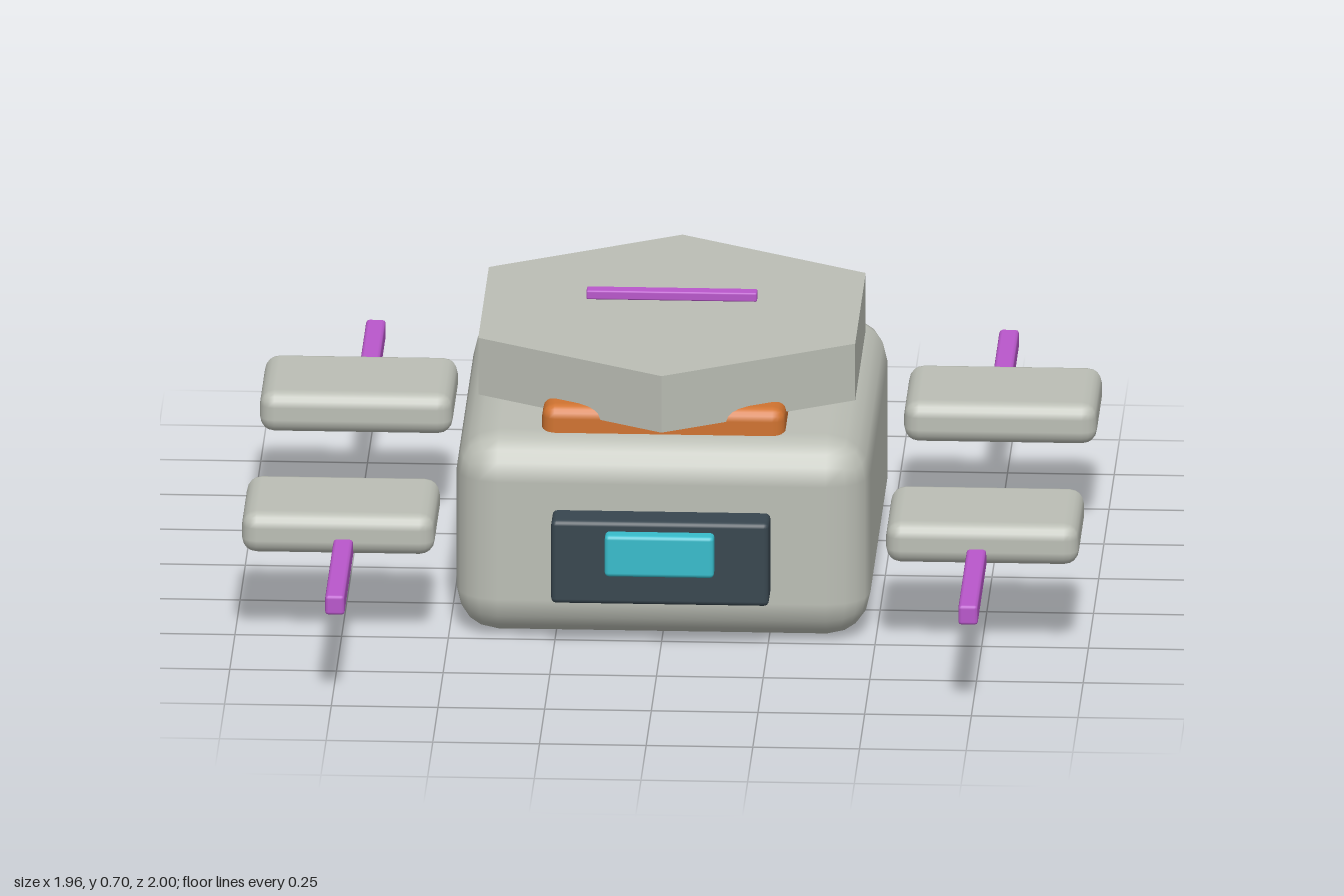
import * as THREE from 'three';
import { RoundedBoxGeometry } from 'three/addons/geometries/RoundedBoxGeometry.js';

const paint = (name, color) => {
  const m = new THREE.MeshStandardMaterial({ color });
  m.name = name;
  return m;
};

export function createModel() {
  const model = new THREE.Group();
  model.name = 'hoverVehicle';

  const grey = paint('hull grey', 0xbbbeb5);
  const greyFlat = grey;
  const orange = paint('orange', 0xd07330);
  const purple = paint('purple', 0xb957cb);
  const charcoal = paint('charcoal', 0x38464f);
  const cyan = paint('cyan', 0x38bccb);

  const add = (name, geometry, material, x, y, z) => {
    const mesh = new THREE.Mesh(geometry, material);
    mesh.name = name;
    mesh.position.set(x, y, z);
    model.add(mesh);
    return mesh;
  };
  const rounded = (w, h, d, r, segments = 2) => new RoundedBoxGeometry(w, h, d, segments, r);

  // Hull
  add('body', rounded(0.97, 0.49, 1.02, 0.1), grey, 0, 0.245, 0);

  // Orange deck block carrying the hexagonal roof
  add('deck', rounded(0.57, 0.12, 0.565, 0.03), orange, 0, 0.49, 0.1425);
  const roof = new THREE.CylinderGeometry(0.51, 0.51, 0.14, 6).toNonIndexed();
  roof.computeVertexNormals();
  add('hexagonRoof', roof, greyFlat, 0, 0.59, 0);
  add('roofBar', rounded(0.4, 0.022, 0.036, 0.004, 1), purple, 0, 0.688, 0);

  // Front panel and its screen
  add('frontPanel', rounded(0.51, 0.205, 0.14, 0.012), charcoal, 0, 0.222, 0.52);
  add('frontScreen', rounded(0.256, 0.102, 0.1, 0.01), cyan, 0, 0.25, 0.575);

  // Round tail lights, pads and rods, mirrored
  for (const sx of [-1, 1]) {
    const light = add('tailLight', new THREE.CylinderGeometry(0.07, 0.07, 0.03, 24), orange, sx * 0.245, 0.245, -0.503);
    light.rotation.x = Math.PI / 2;
    for (const sz of [-1, 1]) {
      add('sidePad', rounded(0.452, 0.1, 0.31, 0.035), grey, sx * 0.755, 0.278, sz * 0.435);
      add('padRod', rounded(0.046, 0.048, 0.56, 0.008, 1), purple, sx * 0.742, 0.247, sz * 0.72);
    }
  }
  return model;
}
